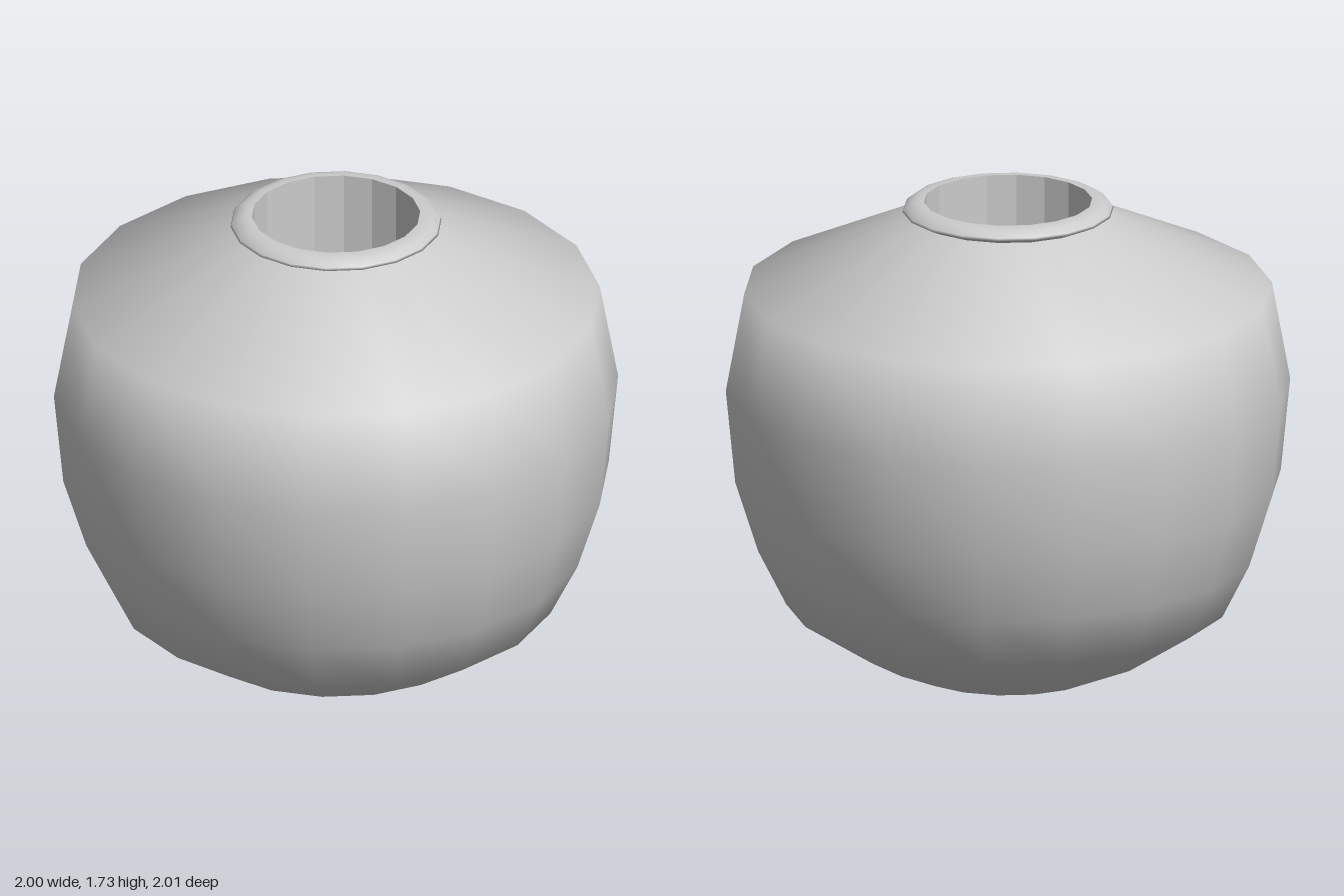
import * as THREE from 'three';

const SIDES = 18;
const START = THREE.MathUtils.degToRad(-4);

// Turns a radius/height profile around the vertical axis
function turned(name, profile, flatShading = false) {
  const points = profile.map(([r, y]) => new THREE.Vector2(r, y));
  const mesh = new THREE.Mesh(
    new THREE.LatheGeometry(points, SIDES, START),
    new THREE.MeshStandardMaterial({ color: 0xcccccc, flatShading })
  );
  mesh.name = name;
  return mesh;
}

export function createModel() {
  const vase = new THREE.Group();
  vase.name = 'vase';

  // Flat underside
  vase.add(turned('base', [[0, 0], [0.36, 0]], true));

  // Rounded belly rising to the sloping shoulder
  vase.add(turned('body', [
    [0.36, 0], [0.53, 0.075], [0.79, 0.245], [0.89, 0.445], [0.972, 0.705],
    [1.0055, 1.045], [0.94, 1.405], [0.34, 1.68],
  ]));

  // Rolled lip around the mouth
  vase.add(turned('rim', [
    [0.34, 1.68], [0.376, 1.697], [0.372, 1.706], [0.35, 1.724],
    [0.325, 1.732], [0.3, 1.732],
  ]));

  // Straight faceted bore and its floor
  const floorY = 0.1;
  vase.add(turned('innerWall', [[0.3, 1.732], [0.3, floorY]], true));
  vase.add(turned('innerFloor', [[0.3, floorY], [0, floorY]], true));

  return vase;
}
